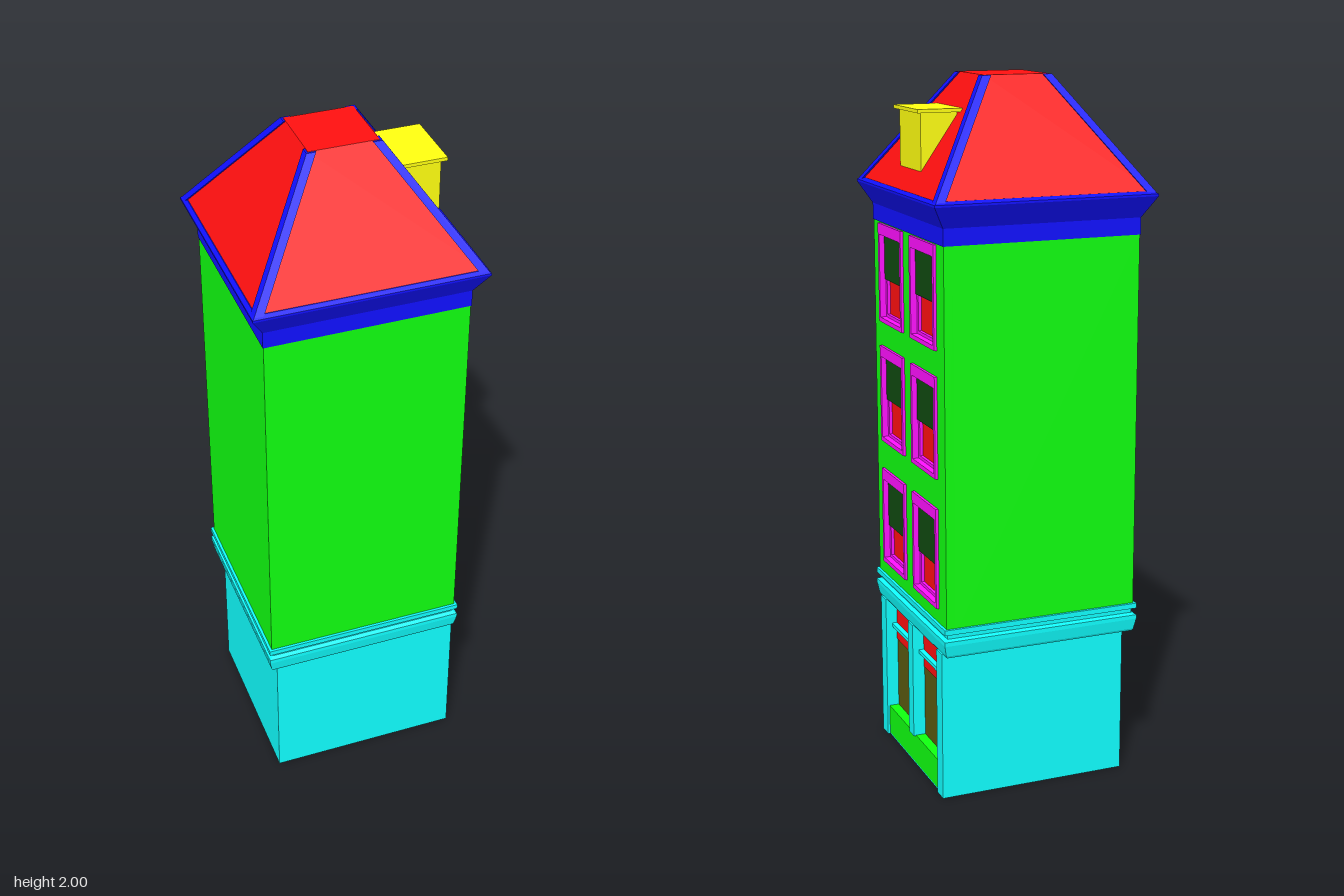
import * as THREE from 'three';
import { ConvexGeometry } from 'three/addons/geometries/ConvexGeometry.js';

const mat = (color) => new THREE.MeshStandardMaterial({ color, flatShading: true });
const GREEN = mat(0x10ff10), CYAN = mat(0x10ffff), BLUE = mat(0x1010ff), RED = mat(0xff1010);
const MAGENTA = mat(0xff10ff), YELLOW = mat(0xffff10), GLASS = mat(0x104a10), SHOPGLASS = mat(0x5a5a10);

function add(parent, name, geometry, material) {
  const mesh = new THREE.Mesh(geometry, material);
  mesh.name = name;
  parent.add(mesh);
  return mesh;
}

// box given by its limits
function box(parent, name, material, x0, x1, y0, y1, z0, z1) {
  const g = new THREE.BoxGeometry(x1 - x0, y1 - y0, z1 - z0);
  g.translate((x0 + x1) / 2, (y0 + y1) / 2, (z0 + z1) / 2);
  return add(parent, name, g, material);
}

// square moulding: profile of [half width, height], from bottom to top
function squareLathe(parent, name, material, profile) {
  const points = profile.map(([r, y]) => new THREE.Vector2(r * Math.SQRT2, y));
  const g = new THREE.LatheGeometry(points, 4);
  g.rotateY(Math.PI / 4);
  return add(parent, name, g, material);
}

function rectangle(target, x0, x1, y0, y1) {
  target.moveTo(x0, y0);
  target.lineTo(x1, y0);
  target.lineTo(x1, y1);
  target.lineTo(x0, y1);
  target.closePath();
  return target;
}

// flat plate with rectangular holes, each [x0, x1, y0, y1]
function plate(parent, name, material, outer, holes, z0, z1) {
  const shape = rectangle(new THREE.Shape(), ...outer);
  for (const h of holes) shape.holes.push(rectangle(new THREE.Path(), ...h));
  const g = new THREE.ExtrudeGeometry(shape, { depth: z1 - z0, bevelEnabled: false });
  g.translate(0, 0, z0);
  return add(parent, name, g, material);
}

// sash window: w wide around x, from y0 to y1, split at the meeting rail
function sashWindow(x, y0, y1, split) {
  const win = new THREE.Group();
  win.name = 'sashWindow';
  const o = 0.097, i = 0.085, s = 0.073;
  plate(win, 'windowFrame', MAGENTA, [x - o, x + o, y0, y1],
    [[x - i, x + i, y0 + 0.013, y1 - 0.032]], 0.26, 0.293);
  plate(win, 'lowerSash', MAGENTA, [x - i, x + i, y0 + 0.012, split],
    [[x - s, x + s, y0 + 0.022, split - 0.002]], 0.26, 0.275);
  box(win, 'lowerPane', RED, x - s, x + s, y0 + 0.02, split, 0.255, 0.266);
  box(win, 'upperPane', GLASS, x - i, x + i, split, y1 - 0.03, 0.255, 0.278);
  return win;
}

export function createModel() {
  const model = new THREE.Group();
  model.name = 'townHouse';

  // ground floor and main storeys
  box(model, 'groundFloor', CYAN, -0.263, 0.245, 0, 0.44, -0.262, 0.262);
  box(model, 'floorSlab', CYAN, 0.245, 0.284, 0, 0.004, -0.262, 0.262);
  box(model, 'upperStoreys', GREEN, -0.285, 0.258, 0.5, 1.58, -0.285, 0.285);
  squareLathe(model, 'shopCornice', CYAN, [[0, 0.43], [0.283, 0.43], [0.287, 0.437], [0.293, 0.468],
    [0.293, 0.48], [0.281, 0.485], [0.281, 0.498], [0.293, 0.5], [0.293, 0.515], [0, 0.516]]);

  // street side, built facing +z and then turned to +x
  const facade = new THREE.Group();
  facade.name = 'streetFacade';
  facade.rotation.y = Math.PI / 2;
  model.add(facade);

  const rows = [[0.557, 0.845, 0.67], [0.93, 1.215, 1.055], [1.287, 1.572, 1.41]];
  const holes = [];
  for (const [y0, y1, split] of rows) {
    for (const x of [-0.131, 0.131]) {
      holes.push([x - 0.09, x + 0.09, y0 + 0.006, y1 - 0.01]);
      facade.add(sashWindow(x, y0, y1, split));
    }
  }
  plate(facade, 'facadeWall', GREEN, [-0.285, 0.285, 0.5, 1.58], holes, 0.258, 0.285);

  // shop front
  for (const [a, b, y0, name] of [[-0.262, -0.217, 0, 'leftPilaster'],
    [0.217, 0.262, 0, 'rightPilaster'], [-0.02, 0.02, 0.09, 'centrePost']]) {
    box(facade, name, CYAN, a, b, y0, 0.435, 0.24, 0.291);
  }
  box(facade, 'stallRiser', GREEN, -0.217, 0.217, 0.004, 0.092, 0.24, 0.284);
  for (const s of [-1, 1]) {
    const a = s < 0 ? -0.217 : 0.02, b = s < 0 ? -0.02 : 0.217;
    box(facade, 'shopPane', SHOPGLASS, a, b, 0.092, 0.305, 0.24, 0.255);
    box(facade, 'shopBlind', RED, a, b, 0.305, 0.432, 0.24, 0.257);
    box(facade, 'transomBar', CYAN, a, b, 0.347, 0.358, 0.25, 0.272);
  }

  // eaves and roof
  squareLathe(model, 'eaves', BLUE, [[0, 1.575], [0.287, 1.575], [0.287, 1.622],
    [0.322, 1.682], [0.322, 1.688], [0.311, 1.695], [0.3, 1.695]]);
  squareLathe(model, 'roof', RED, [[0.311, 1.692], [0.096, 2], [0, 2]]);

  // hip ridges on the four roof corners
  for (const sx of [-1, 1]) {
    for (const sz of [-1, 1]) {
      const points = [];
      for (const [c, y] of [[0.311, 1.692], [0.096, 1.999]]) {
        for (const [px, pz] of [[0.006, 0.006], [0.006, -0.02], [-0.02, 0.006], [-0.02, -0.02]]) {
          points.push(new THREE.Vector3(sx * (c + px), y, sz * (c + pz)));
        }
      }
      add(model, 'hipRidge', new ConvexGeometry(points), BLUE);
    }
  }

  // chimney
  box(model, 'chimney', YELLOW, 0.168, 0.272, 1.745, 1.906, -0.084, 0.084);
  box(model, 'chimneyCap', YELLOW, 0.156, 0.285, 1.904, 1.914, -0.097, 0.097);
  return model;
}
